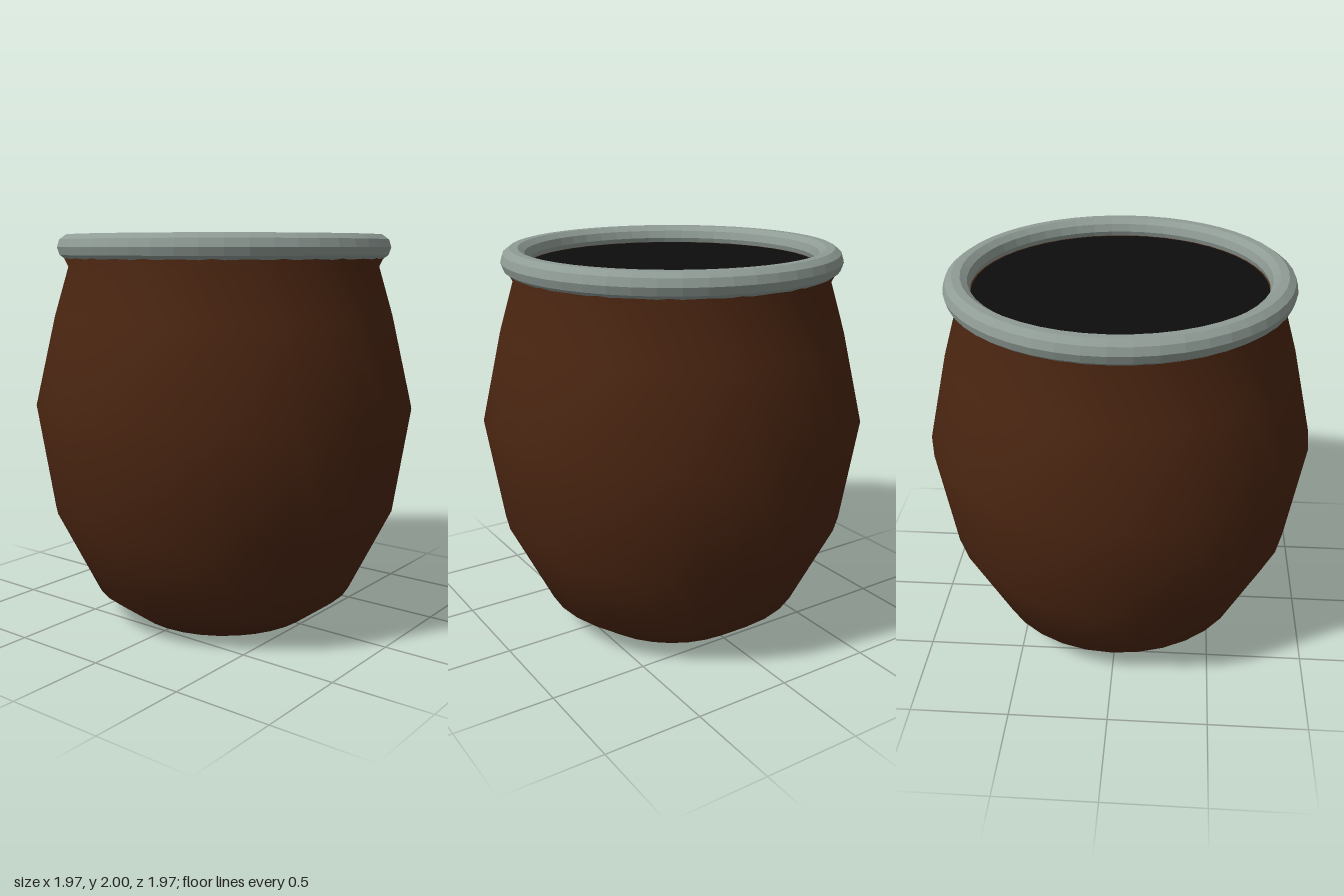
import * as THREE from 'three';

export function createModel() {
  const clay = new THREE.MeshStandardMaterial({ color: 0x4a2511 });
  clay.name = 'brownClay';
  const metal = new THREE.MeshStandardMaterial({ color: 0x8f9b95, flatShading: true });
  metal.name = 'greyRim';
  const dark = new THREE.MeshStandardMaterial({ color: 0x0d0d0d });
  dark.name = 'blackFill';

  const group = new THREE.Group();
  group.name = 'pot';
  const add = (name, geometry, material, y = 0) => {
    const mesh = new THREE.Mesh(geometry, material);
    mesh.name = name;
    mesh.position.y = y;
    group.add(mesh);
    return mesh;
  };

  // Belly: smooth turned body, closed below and folding inward under the rim
  const profile = [
    [0, 0], [0.48, 0.005], [0.685, 0.155], [0.9, 0.59], [0.983, 1.13],
    [0.875, 1.59], [0.8, 1.84], [0.825, 1.89], [0.79, 1.93], [0.722, 1.91],
  ].map(([r, y]) => new THREE.Vector2(r, y));
  add('body', new THREE.LatheGeometry(profile, 32), clay);

  // Rim: faceted ring with a ten-sided section
  const ring = new THREE.TorusGeometry(0.789, 0.066, 10, 48);
  ring.rotateX(-Math.PI / 2);
  add('rim', ring, metal, 1.937);

  // Dark surface filling the mouth
  const disc = new THREE.CircleGeometry(0.724, 48);
  disc.rotateX(-Math.PI / 2);
  add('mouthFill', disc, dark, 1.913);

  return group;
}
